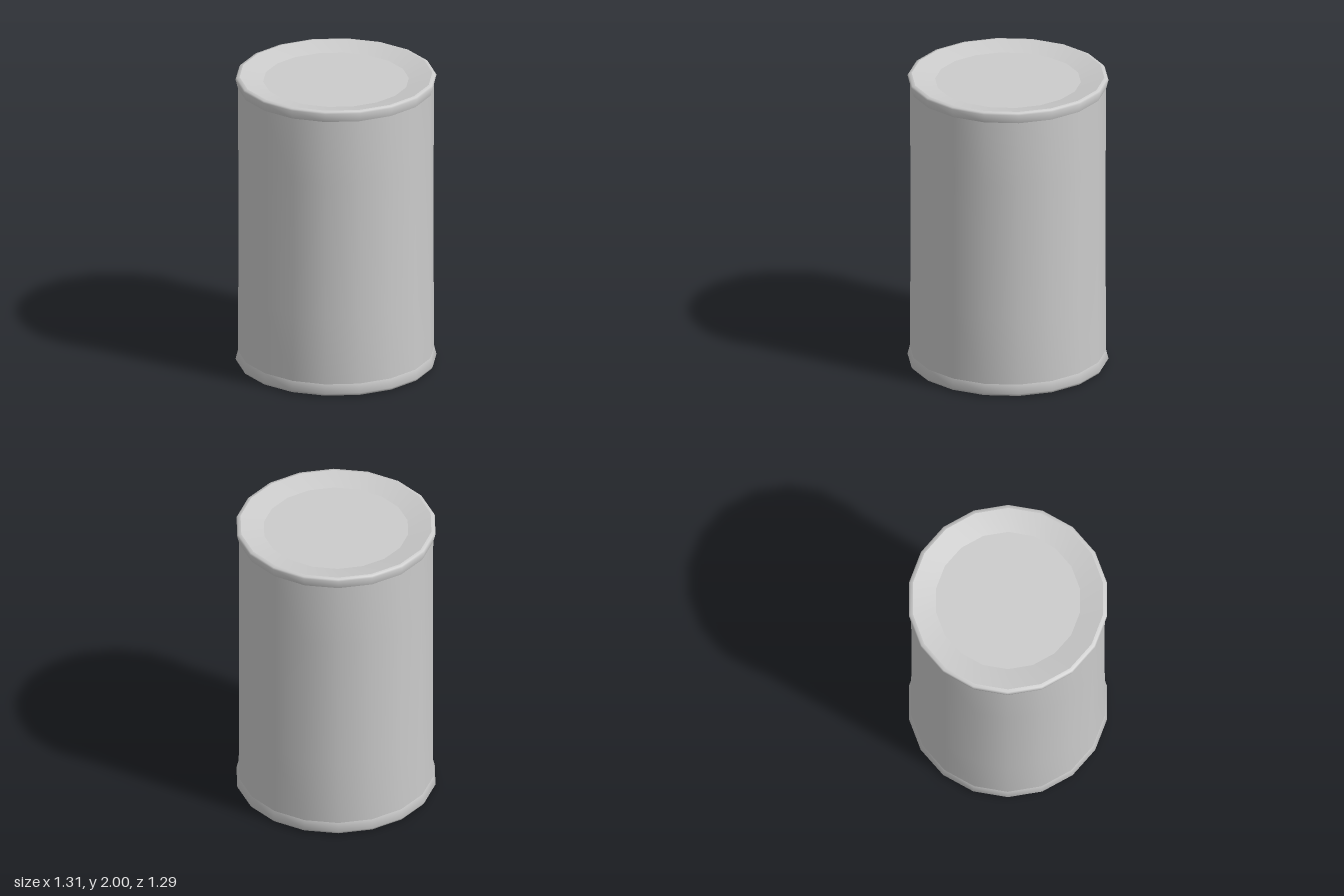
import * as THREE from 'three';
import { toCreasedNormals } from 'three/addons/utils/BufferGeometryUtils.js';

const SIDES = 18;
const material = new THREE.MeshStandardMaterial({ color: 0xcccccc });

// Revolves [radius, height] points, listed from bottom outward to top, with a corner on the x axis
function ring(name, points, crease = 0.5) {
  const profile = points.map(([r, y]) => new THREE.Vector2(r, y));
  const lathe = new THREE.LatheGeometry(profile, SIDES, Math.PI / 2);
  const mesh = new THREE.Mesh(toCreasedNormals(lathe, crease), material);
  mesh.name = name;
  return mesh;
}

export function createModel() {
  const can = new THREE.Group();
  can.name = 'can';

  // Straight wall in three bands
  can.add(ring('wall', [[0.64, 0.085], [0.637, 0.55], [0.637, 1.47], [0.64, 1.925]]));

  // Flared seams at both ends
  can.add(ring('bottomRim', [[0.625, 0], [0.645, 0.008], [0.655, 0.025], [0.64, 0.085]], 0.9));
  can.add(ring('topRim', [[0.64, 1.925], [0.655, 1.985], [0.648, 1.996], [0.628, 2]], 0.9));

  // Dished ends: a sloping ring around a flat disc
  can.add(ring('lid', [[0.628, 2], [0.475, 1.965], [0, 1.965]], 0.1));
  can.add(ring('base', [[0, 0.03], [0.475, 0.03], [0.625, 0]], 0.1));

  return can;
}
